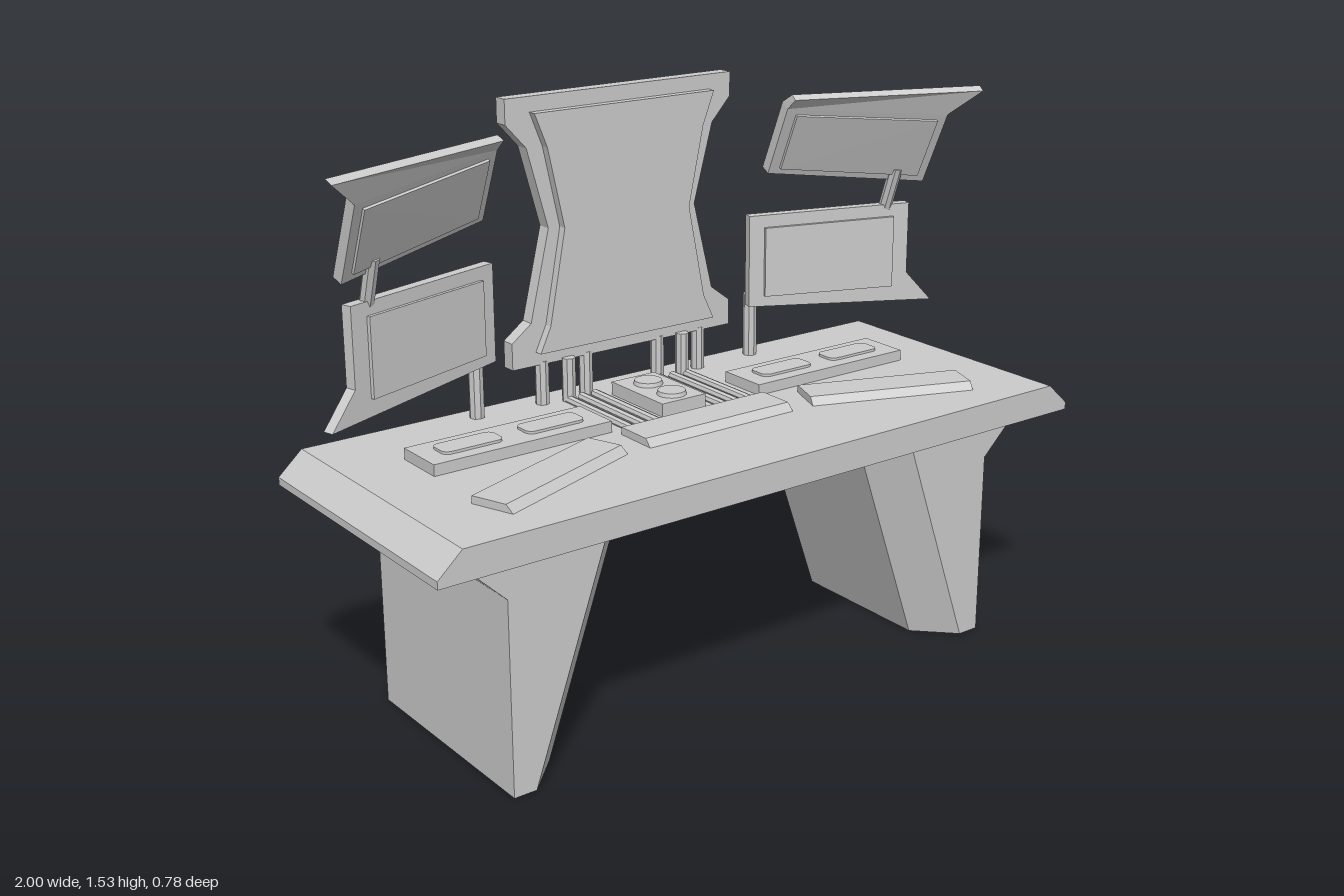
import * as THREE from 'three';

const material = new THREE.MeshStandardMaterial({ color: 0xcccccc, flatShading: true });

function add(parent, name, geometry, x = 0, y = 0, z = 0) {
  const mesh = new THREE.Mesh(geometry, material);
  mesh.name = name;
  mesh.position.set(x, y, z);
  parent.add(mesh);
  return mesh;
}

// Solid through stacked rings of [x, y, z] points, each anticlockwise from above
function loft(rings) {
  const out = [];
  const tri = (a, b, c) => out.push(...a, ...b, ...c);
  const n = rings[0].length;
  for (let k = 0; k < rings.length - 1; k++) {
    for (let i = 0; i < n; i++) {
      const j = (i + 1) % n;
      tri(rings[k][i], rings[k][j], rings[k + 1][j]);
      tri(rings[k][i], rings[k + 1][j], rings[k + 1][i]);
    }
  }
  const top = rings[rings.length - 1], bottom = rings[0];
  for (let i = 1; i < n - 1; i++) {
    tri(top[0], top[i], top[i + 1]);
    tri(bottom[0], bottom[i + 1], bottom[i]);
  }
  const g = new THREE.BufferGeometry();
  g.setAttribute('position', new THREE.Float32BufferAttribute(out, 3));
  g.computeVertexNormals();
  return g;
}

function plate(points, depth) {
  const shape = new THREE.Shape(points.map(p => new THREE.Vector2(p[0], p[1])));
  return new THREE.ExtrudeGeometry(shape, { depth, bevelEnabled: false });
}

// Plate whose outline is given for +x only, from top to bottom
function symmetricPlate(half, depth) {
  return plate([...half.map(([x, y]) => [-x, y]), ...half.slice().reverse()], depth);
}

// Flat slab with a sloping front edge
function wedge(w, d, h) {
  const ring = (y, front) => [[-w / 2, y, front], [w / 2, y, front], [w / 2, y, -d / 2], [-w / 2, y, -d / 2]];
  return loft([ring(0, d / 2), ring(h, d / 2 - 0.02)]);
}

function roundedPad(w, d, h, r) {
  const s = new THREE.Shape(), a = w / 2 - r, b = d / 2 - r;
  s.absarc(a, b, r, 0, Math.PI / 2);
  s.absarc(-a, b, r, Math.PI / 2, Math.PI);
  s.absarc(-a, -b, r, Math.PI, Math.PI * 1.5);
  s.absarc(a, -b, r, Math.PI * 1.5, Math.PI * 2);
  return new THREE.ExtrudeGeometry(s, { depth: h, bevelEnabled: false, curveSegments: 4 }).rotateX(-Math.PI / 2);
}

function rod(parent, name, from, to, r) {
  const a = new THREE.Vector3(...from), b = new THREE.Vector3(...to);
  const mesh = add(parent, name, new THREE.CylinderGeometry(r, r, a.distanceTo(b), 8));
  mesh.position.copy(a).add(b).multiplyScalar(0.5);
  mesh.quaternion.setFromUnitVectors(new THREE.Vector3(0, 1, 0), b.sub(a).normalize());
}

const lerp = (a, b, t) => a.map((v, i) => v + (b[i] - v) * t);
const shift = (a, d, s = 1) => a.map((v, i) => v + d[i] * s);

// Upper monitor: leaning panel with a visor bent along its top
function addUpperScreen(side) {
  const inner = [[0.455, 1.246, -0.262], [0.455, 1.435, -0.182], [0.455, 1.463, -0.15]];
  const outer = [[0.915, 1.187, -0.13], [0.915, 1.39, -0.04], [0.995, 1.455, 0.014]];
  const back = [[0.005, 0.013, -0.03], [0.005, 0.016, -0.028], [0.005, 0.012, -0.02]];
  add(side, 'upperScreen', loft(inner.map((p, i) =>
    [p, outer[i], shift(outer[i], back[i]), shift(p, back[i])])));
  const row = t => {
    const a = lerp(inner[0], inner[1], t), b = lerp(outer[0], outer[1], t);
    const l = lerp(a, b, 0.06), r = lerp(a, b, 0.94);
    return [shift(l, back[0], -0.25), shift(r, back[0], -0.25), shift(r, back[0], 0.2), shift(l, back[0], 0.2)];
  };
  add(side, 'upperDisplay', loft([row(0.1), row(0.92)]));
}

function buildSide() {
  const side = new THREE.Group();

  // Leg with chamfered inner corners and an outward flare at the top
  add(side, 'leg', loft([[0, 0.765], [0.515, 0.765], [0.63, 0.885]].map(([y, xo]) => {
    const xi = 0.602 - 0.222 * y / 0.63, xc = xi + 0.1;
    return [[xi, y, 0.21], [xc, y, 0.31], [xo, y, 0.31], [xo, y, -0.31], [xc, y, -0.31], [xi, y, -0.21]];
  })));

  // Lower monitor, turned inward, with its outer bottom corner drawn out
  const lower = new THREE.Group();
  lower.name = 'lowerScreen';
  lower.position.set(0.415, 0, -0.29);
  lower.rotation.y = -0.288;
  add(lower, 'lowerPanel', plate([[0, 0.865], [0.57, 0.832], [0.49, 0.92], [0.49, 1.125], [0, 1.125]], 0.03), 0, 0, -0.03);
  add(lower, 'lowerDisplay', plate([[0.045, 0.893], [0.44, 0.885], [0.44, 1.09], [0.045, 1.09]], 0.01));
  side.add(lower);

  addUpperScreen(side);
  rod(side, 'lowerScreenPost', [0.452, 0.7, -0.332], [0.452, 0.89, -0.332], 0.02);
  rod(side, 'upperScreenPost', [0.825, 1.075, -0.2], [0.825, 1.235, -0.145], 0.019);

  // Control box with two raised pads
  add(side, 'controlBox', new THREE.BoxGeometry(0.515, 0.03, 0.145), 0.497, 0.725, -0.098);
  for (const x of [0.377, 0.617]) add(side, 'controlPad', roundedPad(0.17, 0.07, 0.008, 0.02), x, 0.739, -0.098);

  // Angled keypad
  add(side, 'keypad', wedge(0.46, 0.12, 0.02), 0.535, 0.71, 0.152).rotation.y = -0.356;

  // Stand posts of the main screen, and the conduits on the desk
  [0.257, 0.187, 0.118].forEach((x, i) => {
    const z = i === 1 ? -0.3 : -0.322;
    rod(side, 'mainScreenPost', [x, 0.7, z], [x, 0.83, z], 0.019);
  });
  for (const x of [0.192, 0.15, 0.108])
    rod(side, 'conduit', [x, 0.714, -0.295], [x, 0.714, 0.01], 0.013);
  return side;
}

export function createModel() {
  const model = new THREE.Group();
  model.name = 'controlDesk';

  // Desktop with sloping ends
  add(model, 'desktop', symmetricPlate([[0.922, 0.71], [0.988, 0.65], [0.988, 0.63]], 0.78), 0, 0, -0.39);

  // Waisted main screen
  add(model, 'mainScreen', symmetricPlate([[0.355, 1.53], [0.355, 1.465], [0.295, 1.4], [0.235, 1.185],
    [0.295, 0.94], [0.355, 0.895], [0.355, 0.823]], 0.04), 0, 0, -0.347);
  add(model, 'mainDisplay', symmetricPlate([[0.283, 1.49], [0.247, 1.4], [0.2, 1.185],
    [0.25, 0.93], [0.283, 0.86]], 0.024), 0, 0, -0.307);

  // Central keyboard and dial box
  add(model, 'keyboard', wedge(0.46, 0.125, 0.02), 0, 0.71, 0.065);
  add(model, 'dialBox', new THREE.BoxGeometry(0.14, 0.036, 0.23), 0, 0.728, -0.155);
  for (const z of [-0.2, -0.095]) add(model, 'dial', new THREE.CylinderGeometry(0.037, 0.04, 0.012, 20), 0, 0.751, z);

  // Left side, mirrored for the right
  const left = buildSide(), right = buildSide();
  left.name = 'leftSide';
  right.name = 'rightSide';
  right.scale.x = -1;
  model.add(left, right);
  return model;
}
